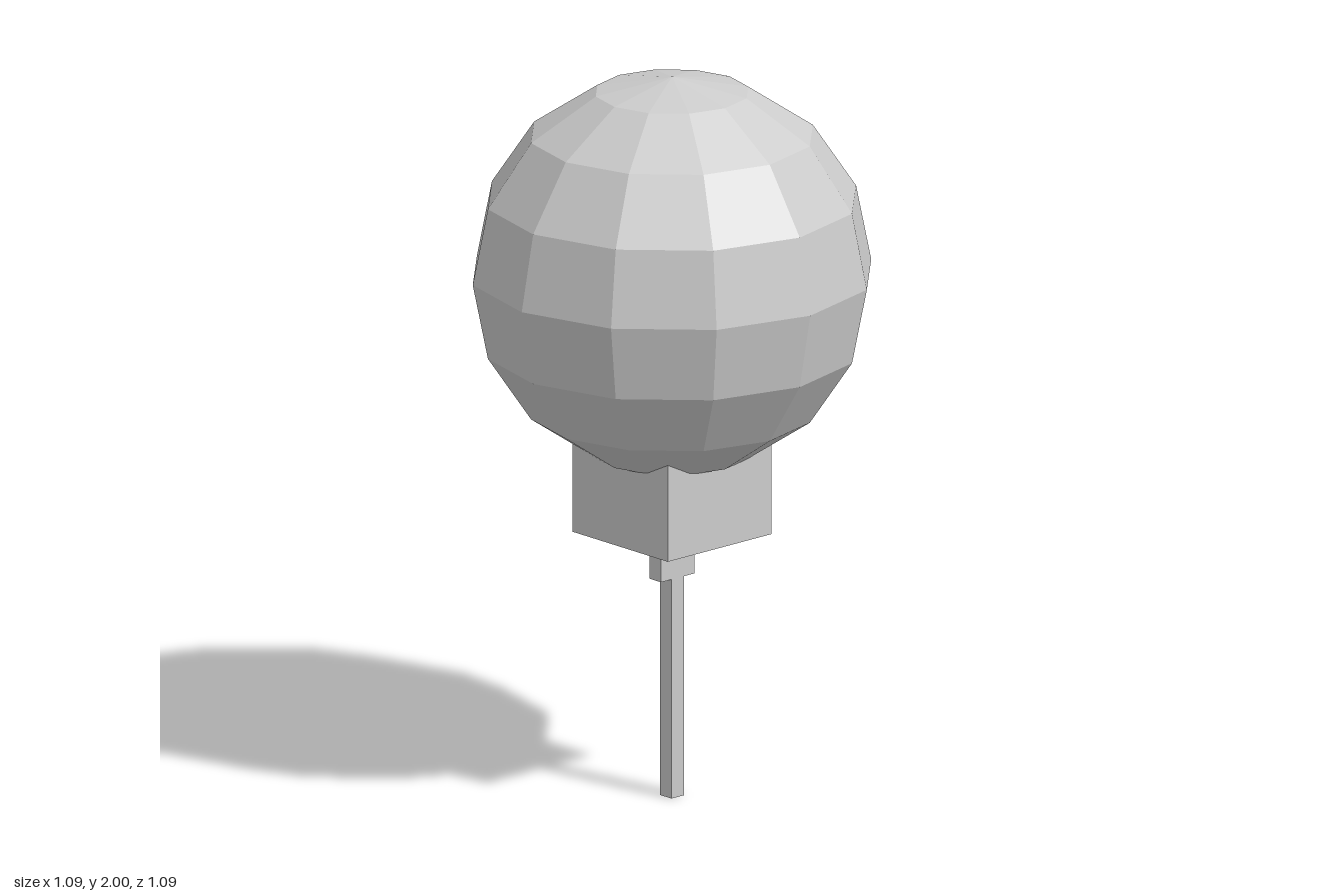
import * as THREE from 'three';

export function createModel() {
  const model = new THREE.Group();
  const grey = new THREE.MeshStandardMaterial({ color: 0xcccccc, flatShading: true });
  grey.name = 'light grey';

  const add = (name, geometry, y) => {
    const mesh = new THREE.Mesh(geometry, grey);
    mesh.name = name;
    mesh.position.y = y;
    model.add(mesh);
  };
  // Box centred on the vertical axis, spanning bottom to top
  const addBox = (name, width, depth, bottom, top) =>
    add(name, new THREE.BoxGeometry(width, top - bottom, depth), (bottom + top) / 2);

  // Faceted ball resting in a square block
  add('ball', new THREE.SphereGeometry(0.544, 12, 8), 1.456);
  addBox('block', 0.376, 0.376, 0.73, 1.106);

  // Flat collar and thin square stick below
  addBox('collar', 0.122, 0.046, 0.61, 0.73);
  addBox('stick', 0.046, 0.046, 0, 0.61);

  return model;
}
